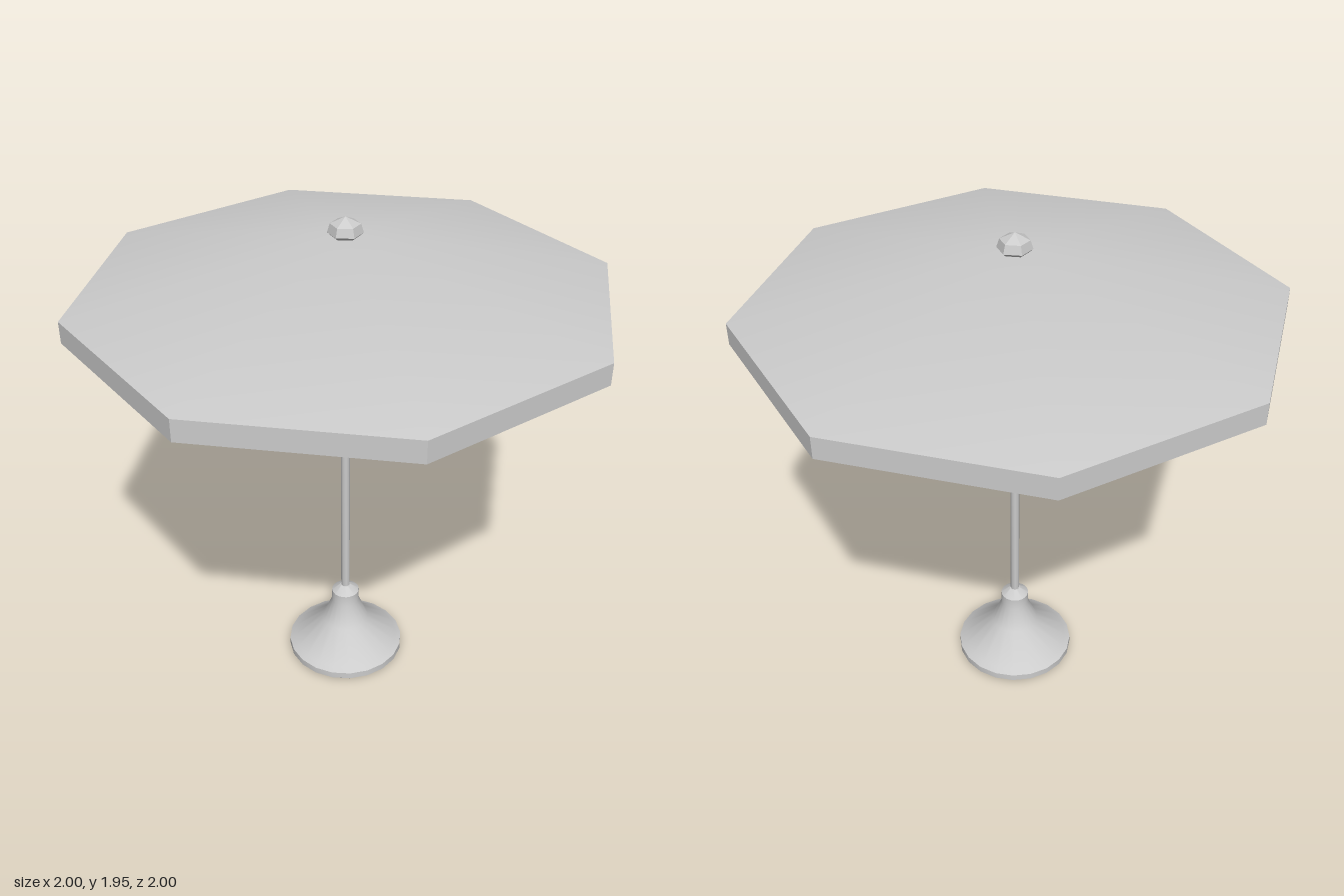
import * as THREE from 'three';
import { toCreasedNormals } from 'three/addons/utils/BufferGeometryUtils.js';

const material = new THREE.MeshStandardMaterial({ color: 0xcccccc });

// Turned part: profile of [radius, height] pairs, outer side traced upwards.
function turned(name, profile, sides, crease) {
  const points = profile.map(([r, y]) => new THREE.Vector2(r, y));
  const geometry = toCreasedNormals(new THREE.LatheGeometry(points, sides), crease);
  const mesh = new THREE.Mesh(geometry, material);
  mesh.name = name;
  return mesh;
}

export function createModel() {
  const model = new THREE.Group();
  model.name = 'parasol';

  // Hollow weighted foot with a flared skirt and a collar for the pole
  model.add(turned('base', [
    [0, 0.15], [0.07, 0.145], [0.19, 0.04], [0.2, 0.01], [0.215, 0.003], [0.225, 0.003],
    [0.237, 0.015], [0.237, 0.042], [0.215, 0.055], [0.095, 0.157],
    [0.056, 0.25], [0.056, 0.3], [0.02, 0.328], [0, 0.328],
  ], 20, 0.65));

  // Slender pole
  model.add(turned('pole', [
    [0, 0.15], [0.018, 0.15], [0.018, 1.78], [0, 1.78],
  ], 8, 0.9));

  // Eight-sided canopy with underside, bevelled inner lip and valance
  model.add(turned('canopy', [
    [0, 1.82], [0.92, 1.64], [0.98, 1.59], [1, 1.59], [1, 1.672], [0, 1.893],
  ], 8, 0.5));

  // Shallow hub below the canopy, tapering down to the pole
  model.add(turned('hub', [
    [0.018, 1.675], [0.22, 1.765], [0, 1.82],
  ], 8, 0.5));

  // Six-sided finial
  model.add(turned('finial', [
    [0, 1.88], [0.052, 1.884], [0.064, 1.895], [0.054, 1.927], [0, 1.953],
  ], 6, 0.1));

  return model;
}
